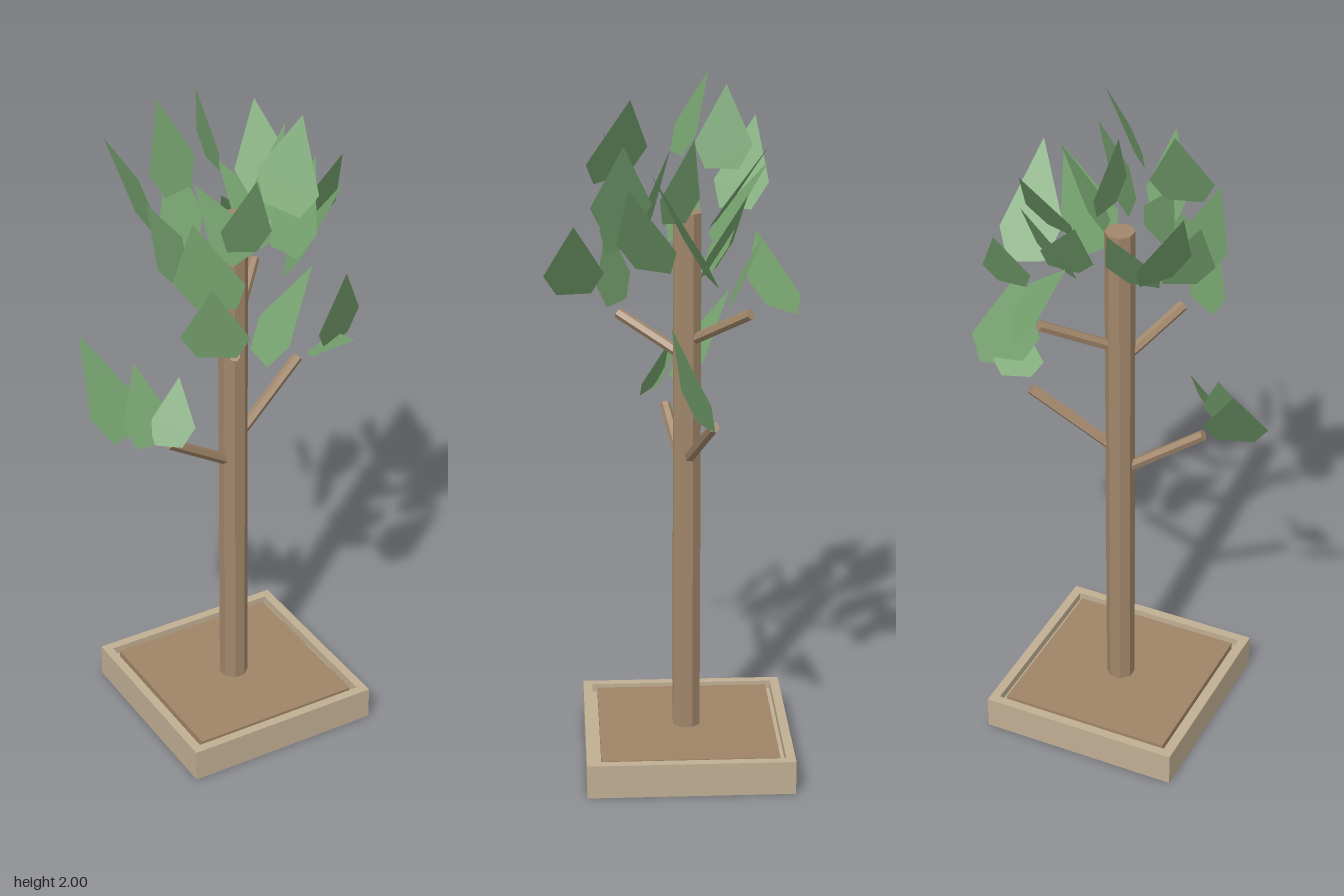
import * as THREE from 'three';

const mat = (name, color, extra = {}) => {
  const m = new THREE.MeshStandardMaterial({ color, flatShading: true, ...extra });
  m.name = name;
  return m;
};
const V = (p) => new THREE.Vector3(...p);

export function createModel() {
  const stone = mat('planter stone', 0xc0ae93);
  const soilMat = mat('soil brown', 0x9f8466);
  const bark = mat('bark brown', 0xa1866a);
  const green = mat('leaf green', 0x77a470, { side: THREE.DoubleSide });

  const model = new THREE.Group();
  model.name = 'tree';
  const add = (name, geometry, material, x = 0, y = 0, z = 0, parent = model) => {
    const mesh = new THREE.Mesh(geometry, material);
    mesh.name = name;
    mesh.position.set(x, y, z);
    parent.add(mesh);
    return mesh;
  };
  const CZ = -0.05; // trunk axis depth

  // Square planter: raised rim, floor and a soil slab with a narrow groove round it
  const square = (ShapeType, h) => new ShapeType(
    [[-h, -h], [h, -h], [h, h], [-h, h]].map(([x, y]) => new THREE.Vector2(x, y)));
  const rim = square(THREE.Shape, 0.298);
  rim.holes.push(square(THREE.Path, 0.271));
  const rimGeo = new THREE.ExtrudeGeometry(rim, { depth: 0.1, bevelEnabled: false });
  rimGeo.rotateX(-Math.PI / 2);
  add('planterRim', rimGeo, stone, 0, 0, CZ);
  add('planterFloor', new THREE.BoxGeometry(0.545, 0.075, 0.545), stone, 0, 0.0375, CZ);
  add('soil', new THREE.BoxGeometry(0.512, 0.03, 0.512), soilMat, 0, 0.08, CZ);

  // Eight-sided trunk
  const trunkGeo = new THREE.CylinderGeometry(0.042, 0.042, 1.545, 8);
  trunkGeo.rotateY(Math.PI / 8);
  add('trunk', trunkGeo, bark, 0, 0.8625, CZ);

  // Branches: height on the trunk, then outer end
  const up = new THREE.Vector3(0, 1, 0);
  for (const [y, end] of [
    [0.845, [-0.235, 1.005, 0.0]],
    [0.91, [0.25, 1.09, -0.11]],
    [1.215, [-0.105, 1.32, 0.14]],
    [1.26, [0.165, 1.385, -0.215]],
  ]) {
    const a = new THREE.Vector3(0, y, CZ);
    const b = V(end);
    const d = b.clone().sub(a);
    const branch = add('branch', new THREE.CylinderGeometry(0.016, 0.016, d.length(), 6), bark);
    branch.position.copy(a).add(b).multiplyScalar(0.5);
    branch.quaternion.setFromUnitVectors(up, d.normalize());
  }

  // Flat five-cornered leaf from its tip and two shoulders, narrowing to a blunt base
  const leafGeometry = (tip, left, right) => {
    const [t, l, r] = [tip, left, right].map(V);
    const mid = l.clone().add(r).multiplyScalar(0.5);
    const base = mid.clone().addScaledVector(mid.clone().sub(t), 0.42);
    const corners = [t, l, r, ...[l, r].map((s) =>
      base.clone().addScaledVector(s.clone().sub(mid), 0.58))];
    const geo = new THREE.BufferGeometry().setFromPoints(corners);
    geo.setIndex([0, 1, 2, 1, 3, 4, 1, 4, 2]);
    const flat = geo.toNonIndexed();
    flat.computeVertexNormals();
    return flat;
  };

  // Leaves by cluster: tip, shoulder, shoulder; most rise outward from the trunk
  const clusters = {
    lowRightLeaves: [
      [[-0.405, 1.305, -0.2], [-0.45, 1.12, -0.055], [-0.28, 1.12, -0.115]],
      [[-0.305, 1.25, -0.07], [-0.38, 1.1, 0], [-0.23, 1.1, 0]],
      [[-0.195, 1.205, -0.01], [-0.19, 1.08, 0.07], [-0.3, 1.09, 0]],
    ],
    lowLeftLeaves: [
      [[0.335, 1.395, 0.01], [0.445, 1.21, -0.09], [0.265, 1.2, -0.02]],
      [[0.35, 1.19, 0.04], [0.38, 1.14, -0.09], [0.25, 1.13, -0.03]],
    ],
    frontBranchLeaves: [
      [[0.06, 1.61, 0.265], [-0.06, 1.44, 0.35], [-0.05, 1.45, 0.18]],
      [[-0.19, 1.56, 0.17], [-0.25, 1.4, 0.1], [-0.09, 1.4, 0.2]],
    ],
    backBranchLeaves: [
      [[0.28, 1.65, -0.245], [0.36, 1.5, -0.165], [0.2, 1.52, -0.19]],
      [[0.07, 1.6, -0.235], [0.13, 1.43, -0.355], [0.2, 1.5, -0.2]],
      [[0.05, 1.72, -0.22], [0.19, 1.58, -0.15], [0.05, 1.55, -0.11]],
    ],
    crownLeaves: [
      [[-0.19, 1.995, -0.12], [-0.265, 1.83, -0.03], [-0.1, 1.83, -0.08]],
      [[-0.05, 1.98, -0.16], [-0.01, 1.82, -0.23], [-0.03, 1.82, -0.07]],
      [[0.12, 1.97, 0.11], [0.1, 1.79, 0.23], [0.01, 1.82, 0.06]],
      [[-0.28, 1.85, -0.26], [-0.16, 1.68, -0.29], [-0.25, 1.67, -0.14]],
      [[-0.06, 1.85, 0.18], [-0.13, 1.69, 0.11], [0.01, 1.67, 0.14]],
      [[0.28, 1.8, 0.06], [0.35, 1.58, -0.08], [0.18, 1.6, -0.03]],
      [[-0.22, 1.74, 0.12], [-0.26, 1.56, 0.08], [-0.1, 1.56, 0.19]],
      [[0.19, 1.86, -0.26], [0.24, 1.7, -0.13], [0.08, 1.7, -0.18]],
      [[0.22, 1.73, -0.2], [0.23, 1.56, -0.09], [0.09, 1.57, -0.17]],
      [[0.25, 1.75, 0.12], [0.2, 1.57, -0.01], [0.1, 1.57, 0.15]],
      [[-0.14, 1.78, -0.01], [-0.02, 1.66, 0.06], [-0.12, 1.6, 0.04]],
      [[0.17, 1.87, -0.06], [0.1, 1.69, 0.03], [0.08, 1.69, -0.08]],
      [[0.15, 1.85, 0.13], [0.1, 1.67, 0.22], [0.06, 1.67, 0.05]],
      [[-0.07, 1.76, -0.28], [-0.17, 1.6, -0.16], [-0.02, 1.6, -0.18]],
      [[-0.25, 1.72, -0.08], [-0.26, 1.56, 0], [-0.13, 1.58, -0.1]],
    ],
  };
  for (const [name, leaves] of Object.entries(clusters)) {
    const group = new THREE.Group();
    group.name = name;
    for (const l of leaves) add('leaf', leafGeometry(...l), green, 0, 0, 0, group);
    model.add(group);
  }
  return model;
}
